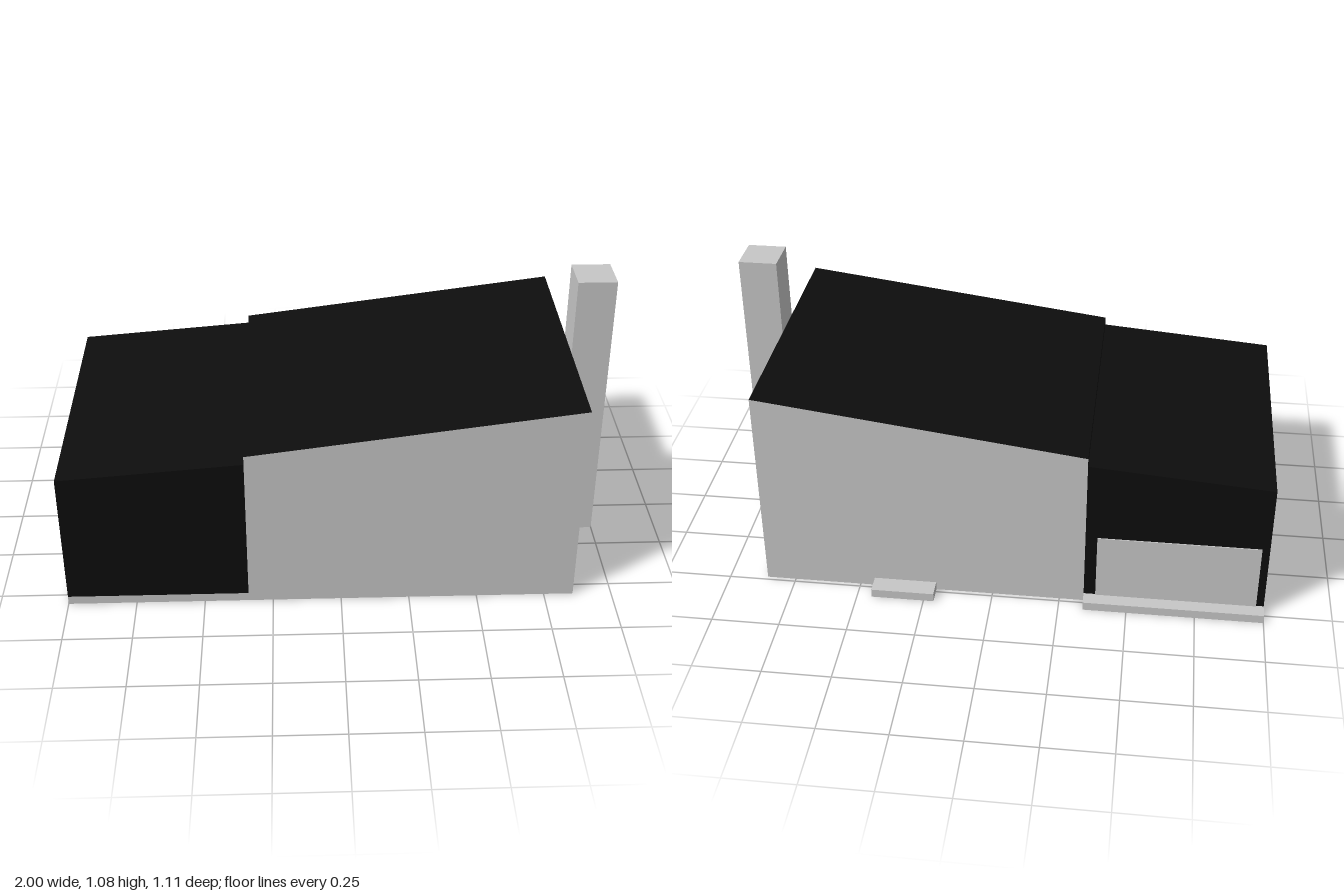
import * as THREE from 'three';

export function createModel() {
  const model = new THREE.Group();
  model.name = 'house';

  const wall = new THREE.MeshStandardMaterial({ color: 0xc7c7c7 });
  wall.name = 'light grey';
  const dark = new THREE.MeshStandardMaterial({ color: 0x0d0d0d });
  dark.name = 'black';

  // Block between two corners; the top slopes from y1 at its right end to y1End at its left end
  function block(name, [x0, x1], [y0, y1, y1End = y1], [z0, z1], material) {
    const geometry = new THREE.BoxGeometry(x1 - x0, 1, z1 - z0);
    const pos = geometry.attributes.position;
    for (let i = 0; i < pos.count; i++) {
      const top = pos.getX(i) < 0 ? y1 : y1End;
      pos.setY(i, pos.getY(i) < 0 ? y0 : top);
    }
    geometry.translate((x0 + x1) / 2, 0, (z0 + z1) / 2);
    geometry.computeVertexNormals();
    const mesh = new THREE.Mesh(geometry, material);
    mesh.name = name;
    model.add(mesh);
  }

  const split = -0.34, back = -0.485, front = 0.552, slab = 0.033;

  // Main hall: grey walls, black sloping roof and roof step (sides: +x, -x, +y, -y, +z, -z)
  block('mainHall', [split, 0.858], [0, 0.632, 0.79], [back, front],
    [wall, dark, dark, wall, wall, wall]);

  // Lower wing, dark all over, on its slab
  block('lowWing', [-1, split], [slab, 0.545, 0.6], [back, front], dark);
  block('wingSlab', [-1, split], [0, slab], [-0.54, front], wall);

  // Low panel on the back of the wing
  block('backPanel', [-0.972, -0.383], [slab, 0.292], [back - 0.004, back], wall);

  // Doorstep behind the main hall
  block('doorstep', [0.212, 0.445], [0, slab], [-0.556, back], wall);

  // Chimney on the left end wall
  block('chimney', [0.858, 1], [0, 1.08], [0, 0.146], wall);

  return model;
}
